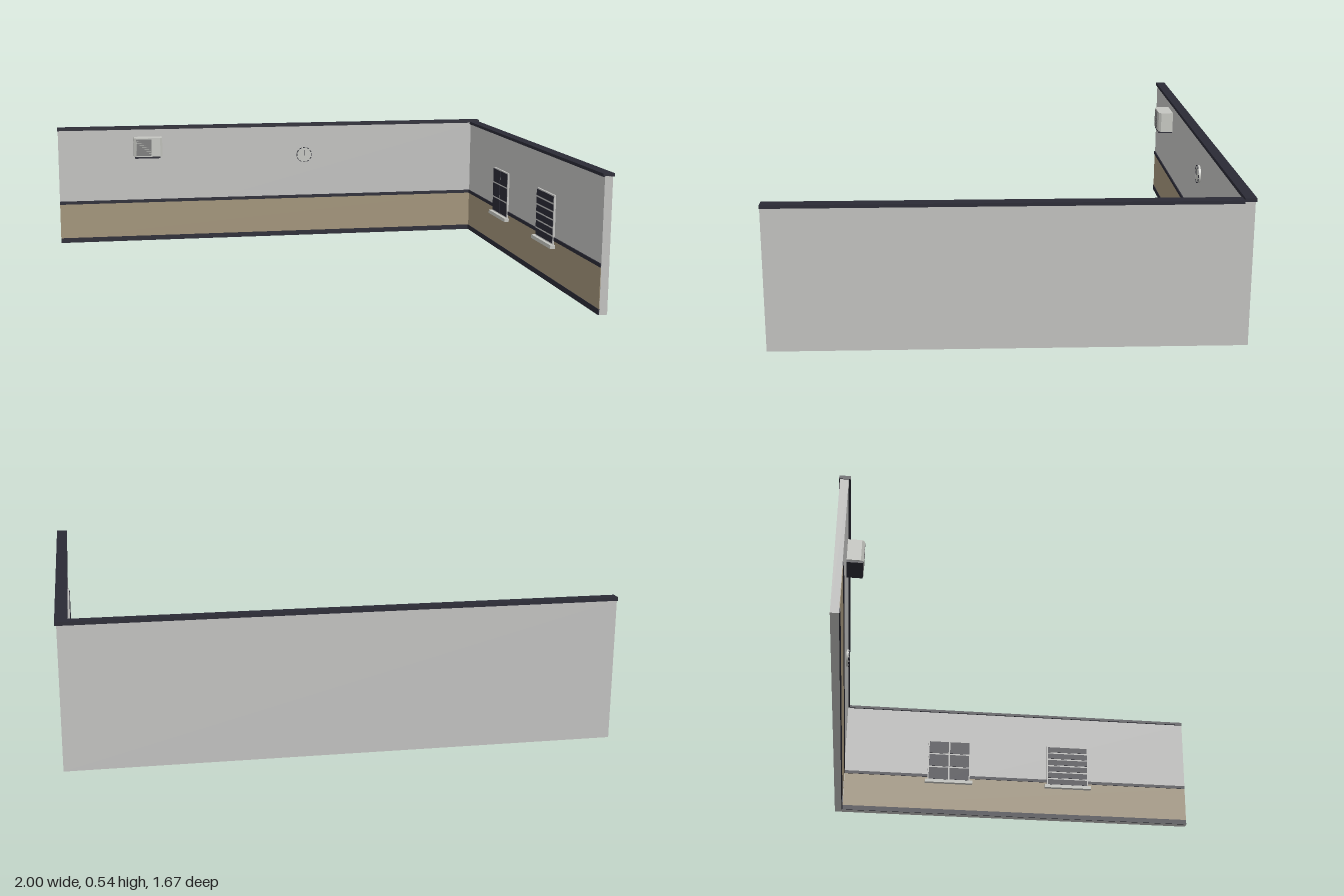
import * as THREE from 'three';

const mat = (name, color) => {
  const m = new THREE.MeshStandardMaterial({ color });
  m.name = name;
  return m;
};

export function createModel() {
  const plaster = mat('plaster grey', 0xc0c0be);
  const panel = mat('wainscot tan', 0xa19379);
  const dark = mat('dark trim', 0x2a2a35);
  const unit = mat('pale casing', 0xc4c5c0);
  const vent = mat('vent grey', 0x7c7c7c);

  const root = new THREE.Group();
  root.name = 'cornerWalls';

  // Box given by its two extreme corners
  const box = (name, material, x0, x1, y0, y1, z0, z1, parent = root) => {
    const mesh = new THREE.Mesh(new THREE.BoxGeometry(x1 - x0, y1 - y0, z1 - z0), material);
    mesh.position.set((x0 + x1) / 2, (y0 + y1) / 2, (z0 + z1) / 2);
    mesh.name = name;
    parent.add(mesh);
    return mesh;
  };

  // Walls and their caps
  box('backWall', plaster, -0.997, 0.993, 0, 0.522, -0.832, -0.802);
  box('sideWall', plaster, 0.962, 0.993, 0, 0.517, -0.802, 0.835);
  box('backCap', dark, -1, 1, 0.522, 0.535, -0.835, -0.795);
  box('sideCap', dark, 0.955, 1, 0.515, 0.527, -0.795, 0.835);

  // Wainscot, skirting and dado rail along both inner faces
  const bands = [
    ['skirting', dark, 0, 0.022, 0.004],
    ['wainscot', panel, 0.022, 0.18, 0.002],
    ['dadoRail', dark, 0.18, 0.194, 0.005],
  ];
  for (const [name, m, y0, y1, t] of bands) {
    box(name + 'Back', m, -0.997, 0.962, y0, y1, -0.802, -0.802 + t);
    box(name + 'Side', m, 0.962 - t, 0.962, y0, y1, -0.798, 0.834);
  }

  // Air conditioner with bevelled front corners
  const ac = new THREE.Group();
  ac.name = 'airConditioner';
  ac.position.set(-0.59, 0, -0.802);
  root.add(ac);
  const plan = new THREE.Shape([
    [-0.065, 0], [0.065, 0], [0.065, -0.052], [0.055, -0.062], [-0.055, -0.062], [-0.065, -0.052],
  ].map(([x, y]) => new THREE.Vector2(x, y)));
  const casing = new THREE.Mesh(new THREE.ExtrudeGeometry(plan, { depth: 0.086, bevelEnabled: false }), unit);
  casing.rotation.x = -Math.PI / 2;
  casing.position.y = 0.402;
  casing.name = 'casing';
  ac.add(casing);
  box('base', dark, -0.06, 0.055, 0.394, 0.402, 0, 0.06, ac);
  for (let i = 0; i < 8; i++) {
    const y = 0.407 + i * 0.0095;
    box('ventSlat', vent, -0.054, 0.015, y, y + 0.0088, 0.058, 0.0635, ac);
  }

  // Wall clock
  const clock = new THREE.Group();
  clock.name = 'clock';
  clock.position.set(0.145, 0.387, -0.802);
  root.add(clock);
  const face = new THREE.Mesh(new THREE.CylinderGeometry(0.036, 0.036, 0.01, 24), unit);
  face.rotation.x = Math.PI / 2;
  face.position.z = 0.005;
  face.name = 'clockFace';
  clock.add(face);
  for (let i = 0; i < 12; i++) {
    const a = (i * Math.PI) / 6;
    const tick = box('hourTick', dark, -0.006, 0.006, -0.0015, 0.0015, 0.008, 0.0115, clock);
    tick.position.x = Math.sin(a) * 0.0345;
    tick.position.y = Math.cos(a) * 0.0345;
    tick.rotation.z = -a;
  }
  box('clockHand', dark, -0.0015, 0.0015, -0.003, 0.022, 0.009, 0.0115, clock);

  // Windows on the side wall: frame, dark panes and a projecting sill
  const addWindow = (name, z, rows, cols) => {
    const g = new THREE.Group();
    g.name = name;
    g.position.z = z;
    root.add(g);
    box('frame', plaster, 0.954, 0.962, 0.165, 0.365, -0.1, 0.1, g);
    box('sill', unit, 0.94, 0.962, 0.15, 0.165, -0.112, 0.112, g);
    const gap = 0.007;
    const w = (0.19 - gap * (cols - 1)) / cols;
    const h = (0.19 - gap * (rows - 1)) / rows;
    for (let r = 0; r < rows; r++) {
      for (let c = 0; c < cols; c++) {
        const y = 0.17 + r * (h + gap);
        const zz = -0.095 + c * (w + gap);
        box('pane', dark, 0.952, 0.955, y, y + h, zz, zz + w, g);
      }
    }
  };
  addWindow('crossWindow', -0.31, 3, 2);
  addWindow('louvredWindow', 0.26, 6, 1);

  return root;
}
